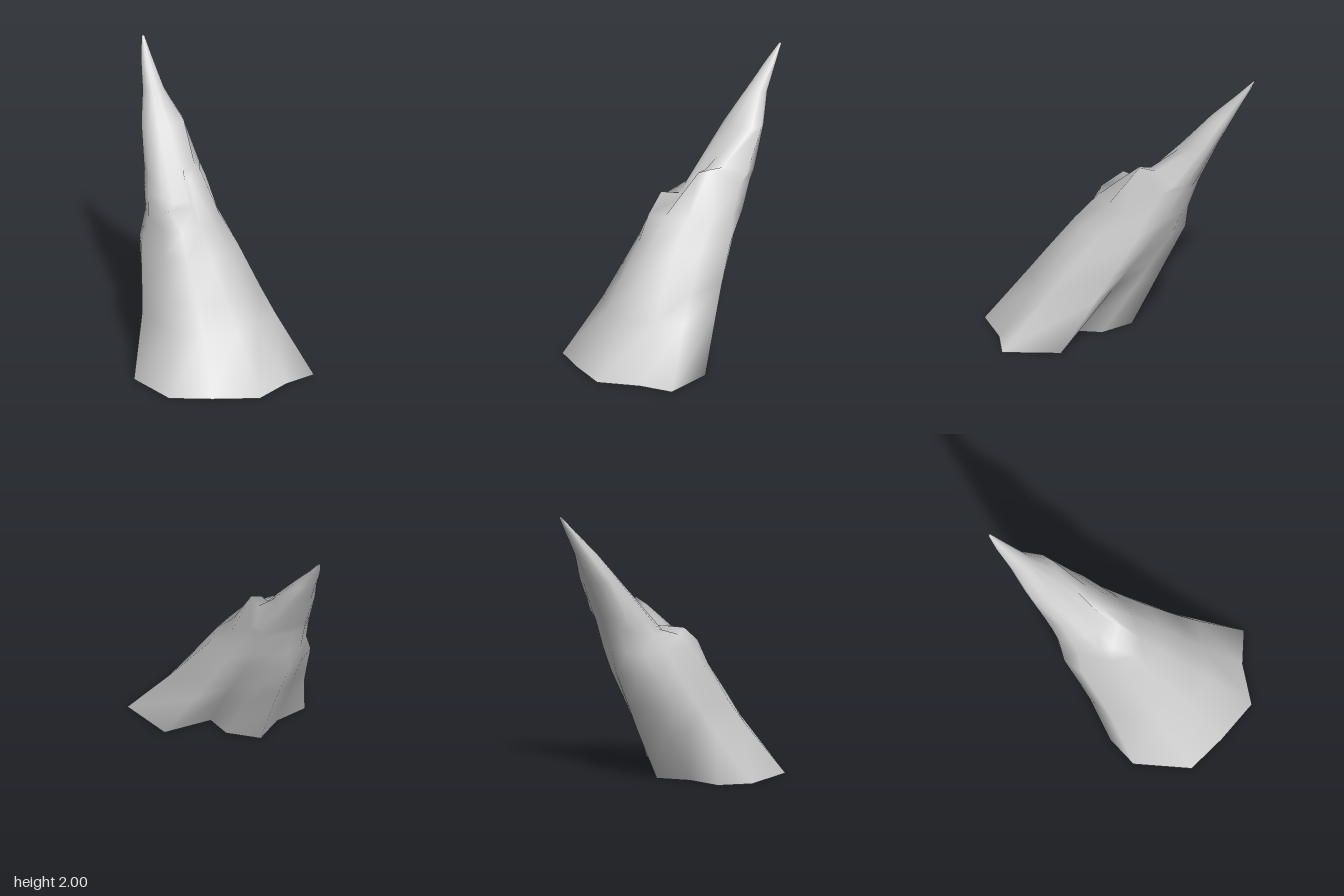
import * as THREE from 'three';

// Outlines scaled to -1..1 in x and z, from front right round the back:
// the ragged foot, and the fuller shape it grows into higher up.
const FOOT = [
  [0.99, 0.55], [0.87, -0.24], [0.28, -0.29], [0.25, -0.66], [-0.05, -1], [-0.39, -0.74],
  [-0.8, -0.66], [-1, -0.24], [-0.83, 0.53], [-0.37, 0.78], [0.15, 1], [0.59, 0.69],
];
const FULL = [
  [0.88, 0.42], [1, -0.25], [0.82, -0.66], [0.42, -0.88], [-0.05, -1], [-0.5, -0.86],
  [-0.87, -0.58], [-1, -0.22], [-0.85, 0.5], [-0.5, 0.87], [0, 1], [0.5, 0.82],
];

// One cross-section: a blend of the two outlines, fitted between the given limits.
function section(y, xMin, xMax, zFront, zBack, blend) {
  const outline = FOOT.map(([x, z], i) => [
    THREE.MathUtils.lerp(x, FULL[i][0], blend),
    THREE.MathUtils.lerp(z, FULL[i][1], blend),
  ]);
  const xs = outline.map((p) => p[0]), zs = outline.map((p) => p[1]);
  const fit = THREE.MathUtils.mapLinear;
  return outline.map(([x, z]) => [
    fit(x, Math.min(...xs), Math.max(...xs), xMin, xMax),
    y,
    fit(z, Math.min(...zs), Math.max(...zs), zBack, zFront),
  ]);
}

// Sleeve just under its rim, fuller on the side of the low shard.
const SHOULDER = [
  [0.2, 0.97, -0.06], [0.24, 0.97, -0.23], [0.205, 0.97, -0.36], [0.1, 0.97, -0.45],
  [-0.02, 0.97, -0.475], [-0.14, 0.97, -0.45], [-0.235, 0.97, -0.36], [-0.28, 0.97, -0.2],
  [-0.265, 0.97, 0.04], [-0.18, 0.98, 0.18], [-0.04, 0.98, 0.175], [0.1, 0.97, 0.08],
];

// Broken rim of the sleeve: a low shard on one side, a high one on the other.
const RIM = [
  [0.09, 1.29, -0.15], [0.208, 1.16, -0.33], [0.19, 1.17, -0.45], [0.1, 1.18, -0.52],
  [-0.02, 1.18, -0.548], [-0.13, 1.17, -0.52], [-0.225, 1.12, -0.41], [-0.245, 1.1, -0.28],
  [-0.24, 1.06, -0.04], [-0.21, 1.095, 0.03], [-0.03, 1.085, 0.01], [0, 1.25, -0.13],
];

// Where the upper spike rises out of the sleeve.
const COLLAR = [
  [0.1, 1.28, -0.27], [0.197, 1.22, -0.41], [0.18, 1.23, -0.5], [0.09, 1.24, -0.555],
  [-0.02, 1.24, -0.575], [-0.12, 1.23, -0.55], [-0.195, 1.22, -0.48], [-0.213, 1.2, -0.34],
  [-0.185, 1.11, -0.18], [-0.13, 1.08, -0.1], [-0.03, 1.1, -0.08], [-0.01, 1.25, -0.21],
];

const RINGS = [
  section(0, -0.6, 0.59, 0.955, -0.07, 0),
  section(0.38, -0.45, 0.42, 0.66, -0.25, 0.35),
  section(0.55, -0.41, 0.355, 0.53, -0.33, 0.5),
  section(0.8, -0.355, 0.29, 0.335, -0.45, 0.75),
  SHOULDER,
  RIM,
  COLLAR,
  section(1.5, -0.165, 0.145, -0.46, -0.695, 1),
  section(1.7, -0.1, 0.05, -0.64, -0.8, 1),
  section(1.88, -0.06, 0.02, -0.825, -0.895, 1),
  section(2, -0.02, 0, -0.94, -0.955, 1),
];

function loftSpike() {
  const n = FOOT.length, index = [];
  for (let r = 0; r < RINGS.length - 1; r++) {
    for (let i = 0; i < n; i++) {
      const a = r * n + i, b = r * n + (i + 1) % n;
      index.push(a, b, b + n, a, b + n, a + n);
    }
  }
  // close the tip
  const top = (RINGS.length - 1) * n;
  for (let i = 1; i < n - 1; i++) index.push(top, top + i, top + i + 1);
  const g = new THREE.BufferGeometry();
  g.setAttribute('position', new THREE.Float32BufferAttribute(RINGS.flat(2), 3));
  g.setIndex(index);
  g.computeVertexNormals();
  return g;
}

export function createModel() {
  const group = new THREE.Group();
  group.name = 'leaningSpike';
  // hollow spike, open at the foot
  const spike = new THREE.Mesh(
    loftSpike(),
    new THREE.MeshStandardMaterial({ color: 0xcccccc, side: THREE.DoubleSide }),
  );
  spike.name = 'spike';
  group.add(spike);
  return group;
}
